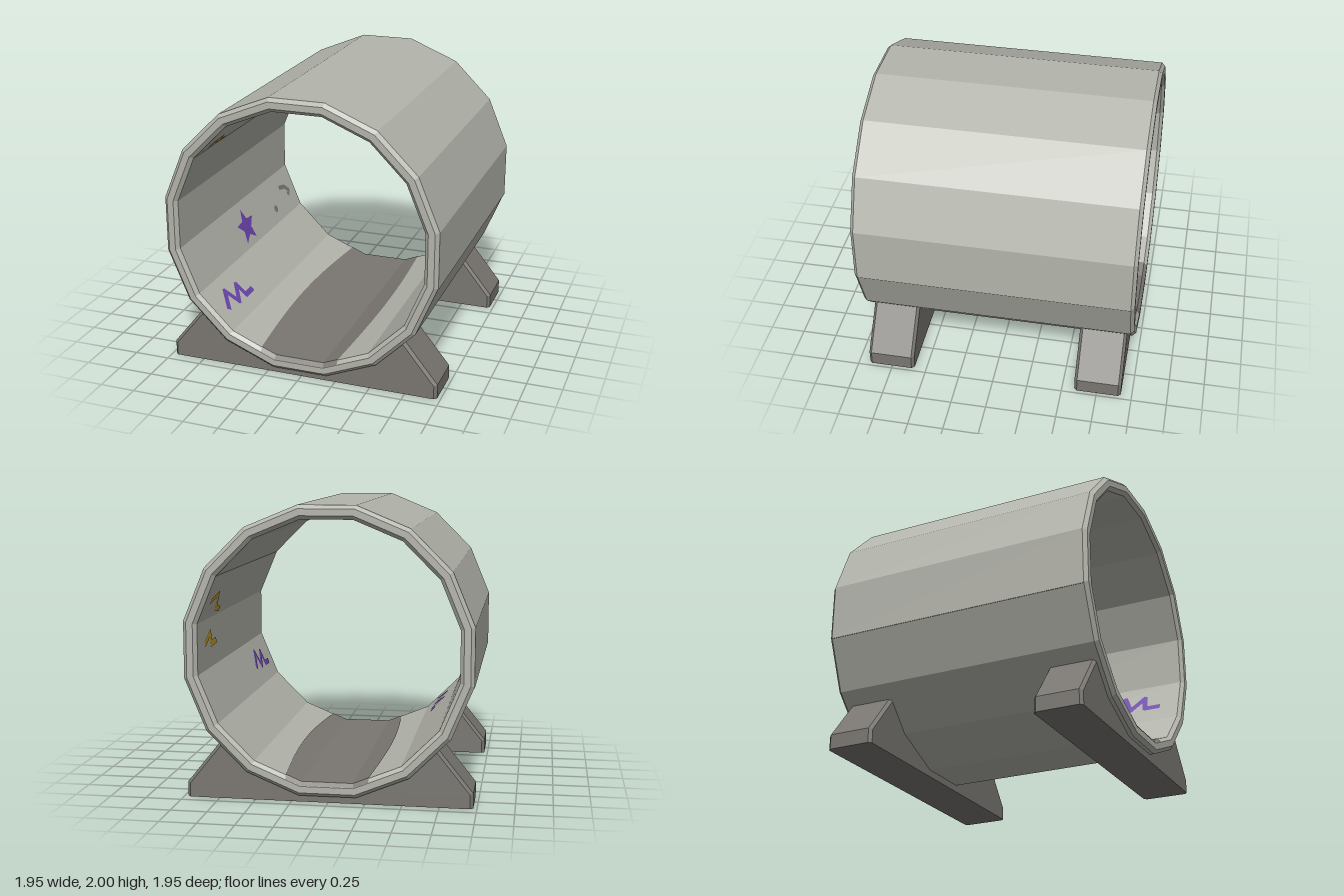
import * as THREE from 'three';

const SIDES = 16, CY = 1.025;          // tube facets and axis height
const OUT = 0.975, IN = 0.88, CH = 0.025, HALF = 0.975; // apothems, chamfer, half length
const K = 1 / Math.cos(Math.PI / SIDES); // apothem to corner radius

const mat = (name, color, open = false) => {
  const m = new THREE.MeshStandardMaterial({ color });
  m.name = name;
  if (open) m.side = THREE.DoubleSide;
  return m;
};

const add = (parent, name, geometry, material) => {
  const mesh = new THREE.Mesh(geometry, material);
  mesh.name = name;
  parent.add(mesh);
  return mesh;
};

// Faceted tube with chamfered rims, axis along z
function tubeGeometry() {
  const profile = [
    [OUT - CH, -HALF], [OUT, -HALF + CH], [OUT, HALF - CH], [OUT - CH, HALF],
    [IN + CH, HALF], [IN, HALF - CH], [IN, -HALF + CH], [IN + CH, -HALF], [OUT - CH, -HALF],
  ].map(([r, h]) => new THREE.Vector2(r * K, h));
  const lathe = new THREE.LatheGeometry(profile, SIDES, Math.PI / SIDES);
  lathe.rotateX(Math.PI / 2);
  const g = lathe.toNonIndexed();
  g.computeVertexNormals();
  return g;
}

// Cradle foot: sloped shoulders and an arch hidden inside the tube wall
function standGeometry() {
  const B = 0.02, depth = 0.335;
  const half = [[0.955, 0], [0.955, 0.095], [0.73, 0.375], [0.70, 0.375], [0.539, 0.218], [0.189, 0.074]];
  const outline = [...half, ...half.map(([x, y]) => [-x, y]).reverse()];
  const shape = new THREE.Shape(outline.map(([x, y]) => new THREE.Vector2(x, y)));
  const g = new THREE.ExtrudeGeometry(shape, {
    depth: depth - 2 * B, bevelEnabled: true, bevelSegments: 1, bevelSize: B, bevelThickness: B,
  });
  g.translate(0, 0, B - depth / 2);
  const p = g.attributes.position;
  for (let i = 0; i < p.count; i++) p.setY(i, Math.max(0, p.getY(i)));
  g.computeVertexNormals();
  return g;
}

// Worn strip lying on the tube floor, slightly wider in the middle
function floorGeometry() {
  const cols = 3, rows = 18;
  const g = new THREE.PlaneGeometry(1, 1, cols, rows).rotateX(-Math.PI / 2);
  const p = g.attributes.position;
  const slope = Math.tan(Math.PI / 8);
  for (let j = 0; j <= rows; j++) {
    const rim = j === 0 || j === rows;
    const z = rim ? Math.sign(j - 1) * HALF : (-1 + 2 * (j - 1) / (rows - 2)) * (HALF - CH);
    const apothem = rim ? IN + CH : IN;
    const fold = apothem * Math.tan(Math.PI / SIDES);
    const w = 0.28 + 0.05 * Math.cos(z / HALF * Math.PI / 2);
    [-w, -fold, fold, w].forEach((x, i) => {
      const y = CY - apothem + Math.max(0, Math.abs(x) - fold) * slope;
      p.setXYZ(j * (cols + 1) + i, x, y + 0.004, z);
    });
  }
  const flat = g.toNonIndexed();
  flat.computeVertexNormals();
  return flat;
}

// Flat brush stroke of constant width along a zigzag
function strokeGeometry(points, width) {
  const pts = points.map(([x, y]) => new THREE.Vector2(x, y));
  const pos = [];
  for (let i = 0; i < pts.length - 1; i++) {
    const d = pts[i + 1].clone().sub(pts[i]).setLength(width / 2);
    const a = pts[i].clone().addScaledVector(d, -0.6), b = pts[i + 1].clone().addScaledVector(d, 0.6);
    const q = [[a.x + d.y, a.y - d.x], [b.x + d.y, b.y - d.x], [b.x - d.y, b.y + d.x], [a.x - d.y, a.y + d.x]];
    for (const k of [0, 1, 2, 0, 2, 3]) pos.push(q[k][0], q[k][1], 0);
  }
  const g = new THREE.BufferGeometry();
  g.setAttribute('position', new THREE.Float32BufferAttribute(pos, 3));
  g.computeVertexNormals();
  return g;
}

function starGeometry(R, r) {
  const pts = [];
  for (let i = 0; i < 10; i++) {
    const a = Math.PI / 2 + i * Math.PI / 5, q = i % 2 ? r : R;
    pts.push(new THREE.Vector2(q * Math.cos(a), q * Math.sin(a)));
  }
  return new THREE.ShapeGeometry(new THREE.Shape(pts));
}

export function createModel() {
  const model = new THREE.Group();
  model.name = 'tunnel';
  const body = mat('light grey', 0xb3b4ab);
  const dark = mat('dark grey', 0x7a7772, true);
  const purple = mat('purple', 0x6a44ac, true);
  const yellow = mat('yellow', 0xc49f2a, true);

  add(model, 'tube', tubeGeometry(), body).position.y = CY;
  add(model, 'floorStrip', floorGeometry(), dark);

  // Thin seams along both sides
  for (const s of [-1, 1]) {
    add(model, 'seam', new THREE.BoxGeometry(0.01, 0.02, 2 * (HALF - CH)), body)
      .position.set(s * 0.97, 0.832, 0);
  }

  // Front and back cradle feet
  const stand = standGeometry();
  for (const s of [-1, 1]) add(model, s > 0 ? 'frontStand' : 'backStand', stand, dark).position.z = s * 0.755;

  // Painted marks inside: one group for each side wall
  const rightWall = new THREE.Group();
  rightWall.name = 'rightWallMarks';
  const leftWall = new THREE.Group();
  leftWall.name = 'leftWallMarks';
  leftWall.rotation.y = Math.PI;
  model.add(rightWall, leftWall);

  // facet: tilt of the wall facet in degrees; up: shift along it
  const mark = (wall, name, geometry, material, facet, up, z) => {
    const a = THREE.MathUtils.degToRad(facet);
    const n = new THREE.Vector3(Math.cos(a), -Math.sin(a), 0);
    const v = new THREE.Vector3(Math.sin(a), Math.cos(a), 0);
    const mesh = add(wall, name, geometry, material);
    mesh.quaternion.setFromRotationMatrix(new THREE.Matrix4().makeBasis(new THREE.Vector3(0, 0, -1), v, n));
    mesh.position.set(0, CY, z).addScaledVector(n, -(IN - 0.004)).addScaledVector(v, up);
  };

  const zigzag = strokeGeometry(
    [[-0.2, -0.03], [-0.1, 0.08], [-0.05, -0.045], [0.06, 0.06], [0.07, -0.045], [0.175, -0.045]], 0.04);
  const bolt = strokeGeometry([[-0.13, -0.01], [-0.01, 0.045], [0.01, -0.035], [0.13, -0.03]], 0.045);
  const wave = strokeGeometry([[-0.14, 0.015], [0, 0.05], [0.09, -0.07], [0.2, -0.09]], 0.04);
  const hook = strokeGeometry([[-0.06, 0.039], [0.023, 0.022], [0.075, -0.025], [0.045, -0.05]], 0.035);

  mark(rightWall, 'star', starGeometry(0.14, 0.065), purple, -22.5, -0.02, 0.01);
  mark(rightWall, 'zigzag', zigzag, purple, -45, -0.01, 0.61);
  mark(rightWall, 'hook', hook, dark, -22.5, 0.012, -0.76);
  mark(rightWall, 'dot', new THREE.CircleGeometry(0.03, 8), dark, -22.5, -0.068, -0.52);
  mark(rightWall, 'bolt', bolt, yellow, 45, -0.09, 0.68);
  mark(leftWall, 'zigzag', zigzag, purple, -22.5, 0, -0.62);
  mark(leftWall, 'wave', wave, yellow, 22.5, -0.04, 0.655);
  mark(leftWall, 'bolt', bolt, yellow, 0, 0.025, 0.625);
  return model;
}
